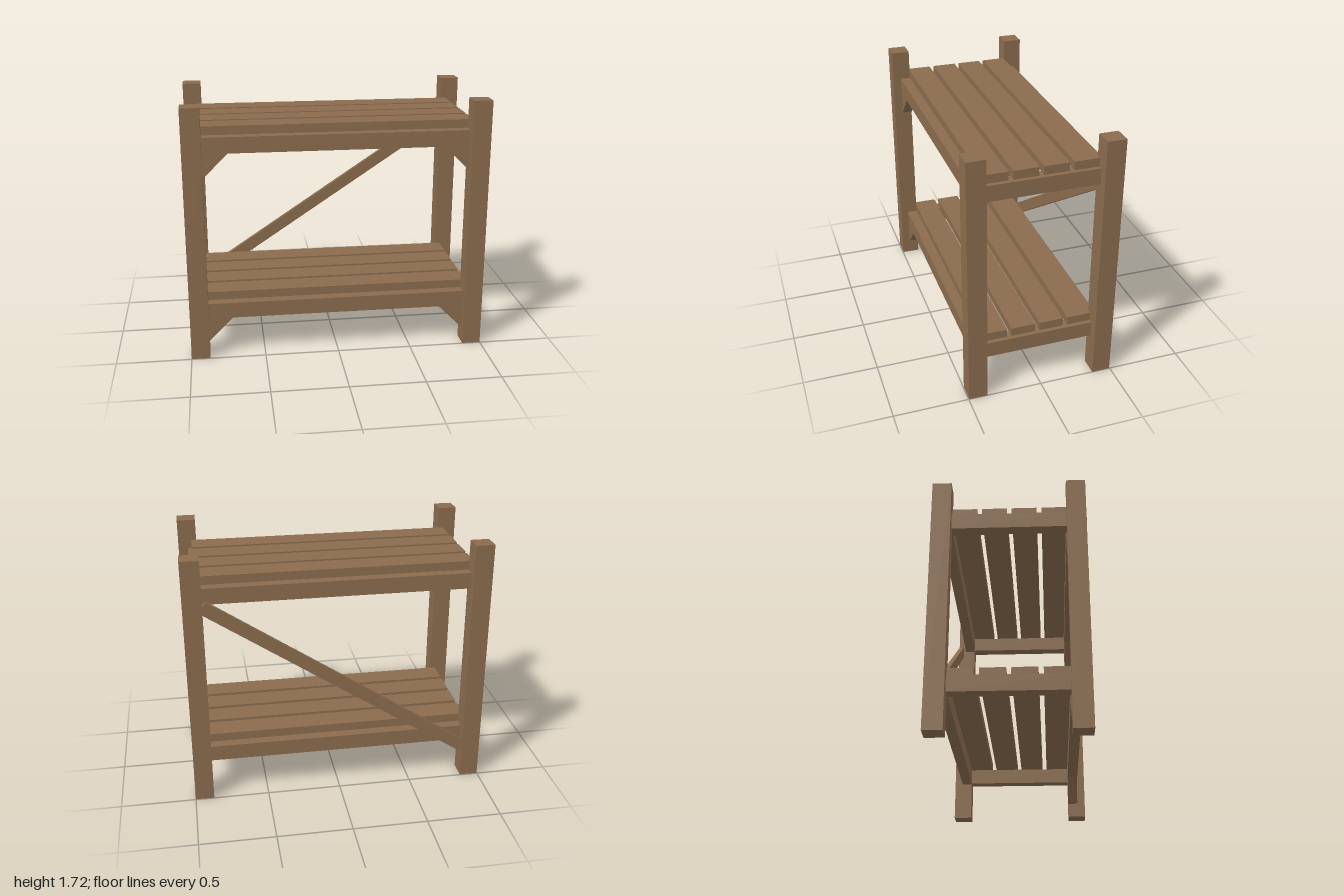
import * as THREE from 'three';

export function createModel() {
  const model = new THREE.Group();
  model.name = 'twoTierPlankShelf';
  const wood = new THREE.MeshStandardMaterial({ color: 0x8a6c4e });
  wood.name = 'brown wood';

  const add = (parent, name, geometry, x, y, z) => {
    const mesh = new THREE.Mesh(geometry, wood);
    mesh.name = name;
    mesh.position.set(x, y, z);
    parent.add(mesh);
    return mesh;
  };
  const box = (parent, name, w, h, d, x, y, z) =>
    add(parent, name, new THREE.BoxGeometry(w, h, d), x, y, z);

  const POST = 0.125, HEIGHT = 1.717, POST_X = 0.9375, POST_Z = 0.434;
  const shelfBottoms = [0.265, 1.407];

  // Corner posts, with a small bolt head at each shelf
  const bolt = new THREE.CylinderGeometry(0.01, 0.01, 0.006, 6).rotateX(Math.PI / 2);
  for (const sx of [-1, 1]) {
    for (const sz of [-1, 1]) {
      box(model, 'post', POST, HEIGHT, POST, sx * POST_X, HEIGHT / 2, sz * POST_Z);
      for (const y of shelfBottoms) {
        add(model, 'bolt', bolt, sx * POST_X, y + 0.052, sz * (POST_Z + POST / 2 + 0.001));
      }
    }
  }

  // Triangular bracket, its square corner at the origin and pointing to +x and -y
  const triangle = new THREE.Shape([
    new THREE.Vector2(0, 0), new THREE.Vector2(0, -0.165), new THREE.Vector2(0.165, 0),
  ]);
  const bracket = new THREE.ExtrudeGeometry(triangle, { depth: 0.07, bevelEnabled: false })
    .translate(0, 0, -0.035);

  // Shelves: a frame of rails, four planks and two front brackets
  const RAIL_H = 0.107, PLANK_H = 0.058;
  for (const y of shelfBottoms) {
    const shelf = new THREE.Group();
    shelf.name = 'shelf';
    shelf.position.y = y;
    model.add(shelf);

    for (const s of [-1, 1]) {
      box(shelf, 'longRail', 1.75, RAIL_H, 0.072, 0, RAIL_H / 2, s * 0.405);
      box(shelf, 'sideRail', 0.08, RAIL_H, 0.743, s * 0.897, RAIL_H / 2, 0);
    }
    for (let i = 0; i < 4; i++) {
      box(shelf, 'plank', 1.82, PLANK_H, 0.163, 0, RAIL_H + PLANK_H / 2, (i - 1.5) * 0.194);
    }
    add(shelf, 'bracket', bracket, -0.875, 0, 0.405);
    add(shelf, 'bracket', bracket, 0.875, 0, 0.405).rotation.y = Math.PI;
  }

  // Diagonal brace across the back
  const brace = box(model, 'diagonalBrace', 2.11, 0.083, 0.032, 0, 0.82, -0.476);
  brace.rotation.z = Math.atan(0.667);

  return model;
}
